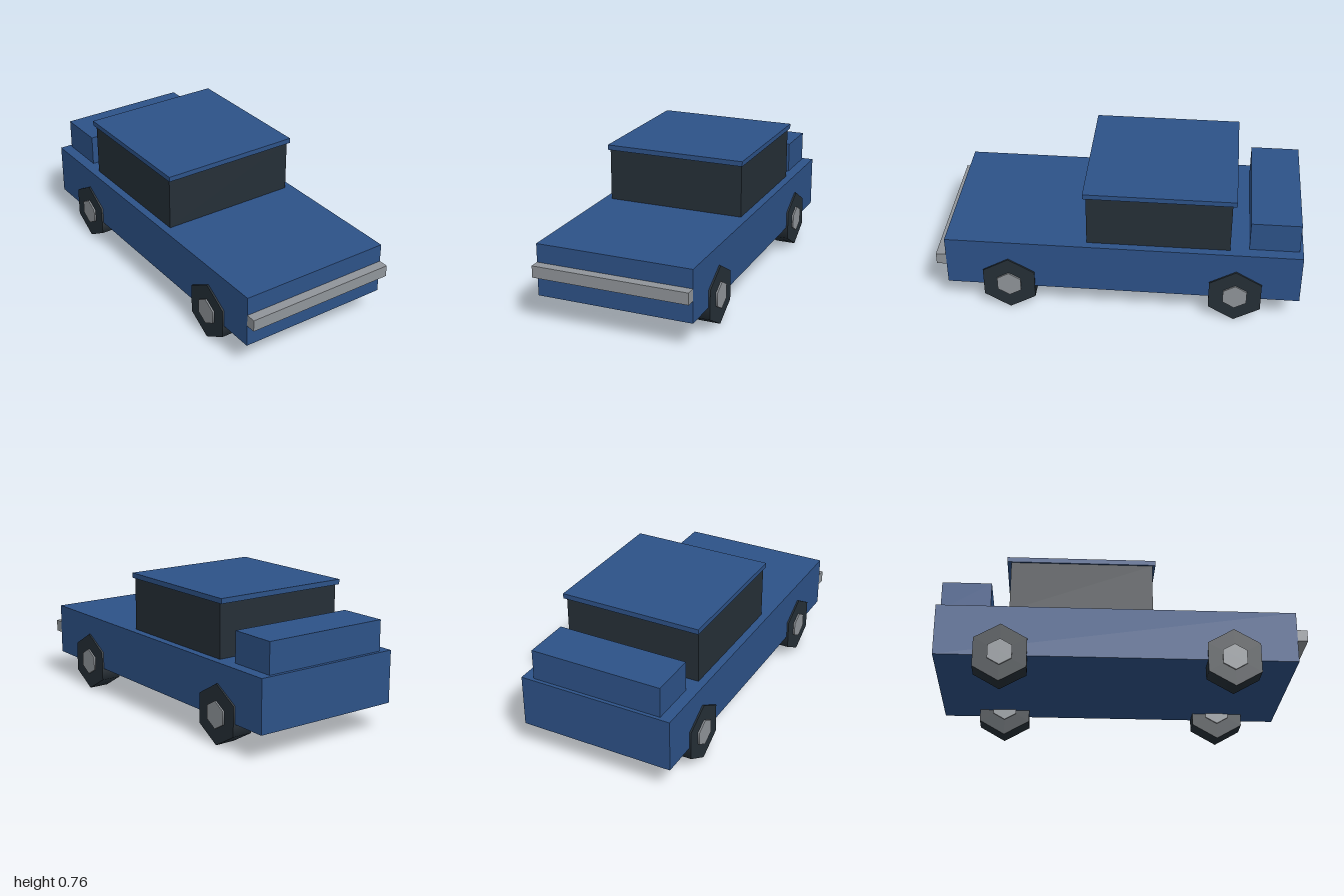
import * as THREE from 'three';

const material = (name, color) => {
  const m = new THREE.MeshStandardMaterial({ color });
  m.name = name;
  return m;
};

export function createModel() {
  const blue = material('blue paint', 0x2d5288);
  const dark = material('dark glass and rubber', 0x252f37);
  const grey = material('grey metal', 0x90959a);
  const car = new THREE.Group();
  car.name = 'car';

  // Box symmetric in x, given by its half width and its y and z ranges
  const addBox = (name, mat, halfW, y0, y1, z0, z1) => {
    const mesh = new THREE.Mesh(new THREE.BoxGeometry(2 * halfW, y1 - y0, z1 - z0), mat);
    mesh.position.set(0, (y0 + y1) / 2, (z0 + z1) / 2);
    mesh.name = name;
    car.add(mesh);
  };

  addBox('body', blue, 0.436, 0.151, 0.441, -1, 0.945);
  addBox('cabin', dark, 0.392, 0.441, 0.735, -0.608, 0.17);
  addBox('roof', blue, 0.401, 0.735, 0.763, -0.63, 0.187);
  addBox('rearBox', blue, 0.373, 0.441, 0.611, -0.98, -0.71);
  addBox('frontBumper', grey, 0.436, 0.273, 0.338, 0.945, 1);

  // Six-sided discs lying along x, with a corner pointing up
  const disc = (radius, width) =>
    new THREE.CylinderGeometry(radius, radius, width, 6).rotateY(Math.PI / 2).rotateZ(Math.PI / 2);
  const tyreGeometry = disc(0.165, 0.115);
  const hubGeometry = disc(0.075, 0.133);

  // Four wheels, each a tyre with a hub showing on both sides
  for (const [end, z] of [['front', 0.6], ['rear', -0.647]]) {
    for (const [side, x] of [['Left', 0.388], ['Right', -0.388]]) {
      const wheel = new THREE.Group();
      wheel.name = `${end}${side}Wheel`;
      wheel.position.set(x, 0.166, z);
      const tyre = new THREE.Mesh(tyreGeometry, dark);
      tyre.name = 'tyre';
      const hub = new THREE.Mesh(hubGeometry, grey);
      hub.name = 'hub';
      wheel.add(tyre, hub);
      car.add(wheel);
    }
  }
  return car;
}
